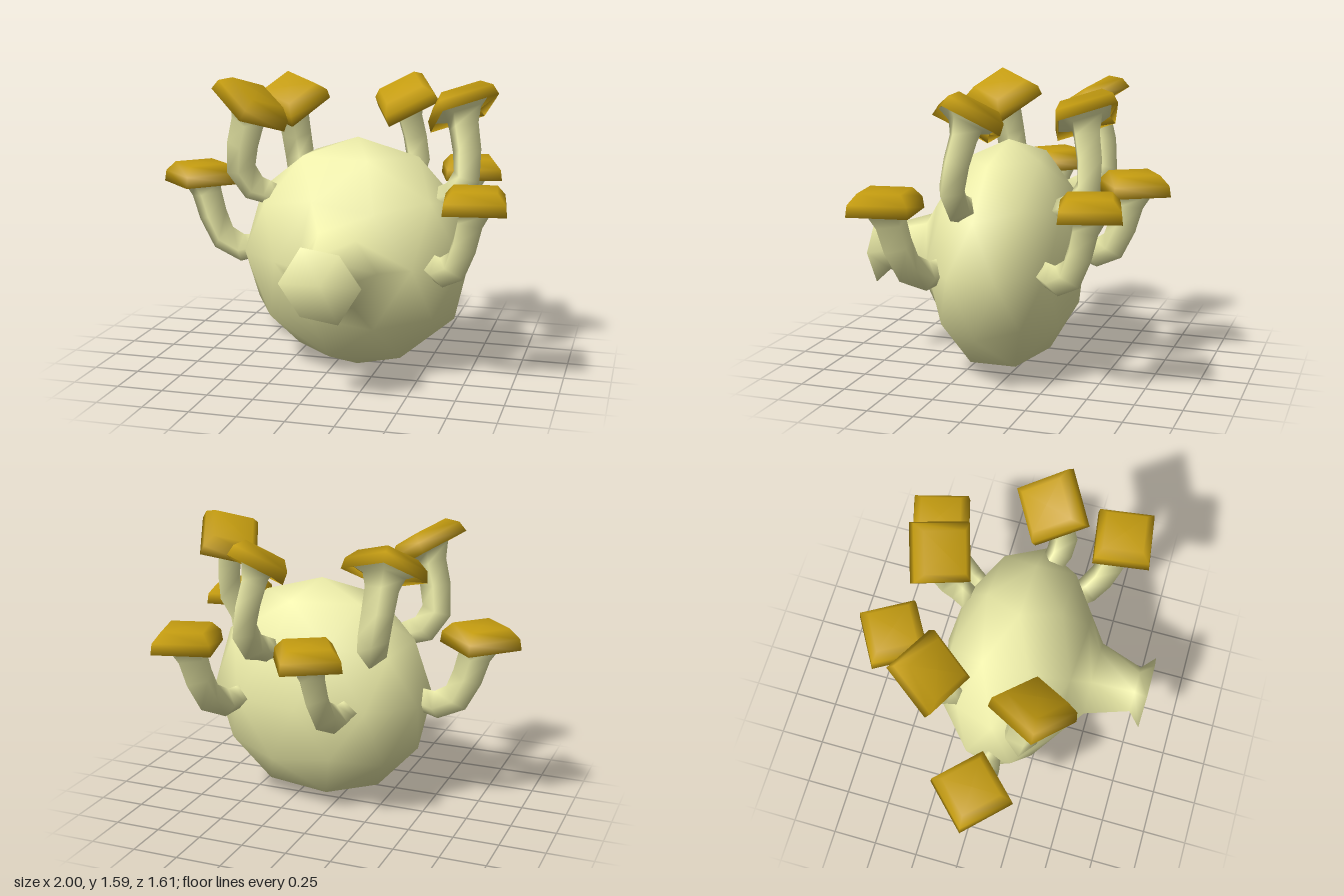
import * as THREE from 'three';
import { mergeVertices } from 'three/addons/utils/BufferGeometryUtils.js';

const cream = new THREE.MeshStandardMaterial({ color: 0xeeeeaa });
const gold = new THREE.MeshStandardMaterial({ color: 0xc49c10, side: THREE.DoubleSide });

function indexed(points, index) {
  const g = new THREE.BufferGeometry().setFromPoints(points);
  g.setIndex(index);
  g.computeVertexNormals();
  return g;
}

// Quads between two closed rings given as lists of vertex indices
function bridge(index, a, b) {
  a.forEach((_, i) => {
    const j = (i + 1) % a.length;
    index.push(a[i], a[j], b[j], a[i], b[j], b[i]);
  });
}

// Icosphere body whose front six faces are pulled out into a flared snout
function bodyGeometry() {
  let ball = new THREE.IcosahedronGeometry(1, 1);
  ball.rotateZ(-Math.atan(2 / (1 + Math.sqrt(5))));
  ball.deleteAttribute('normal');
  ball.deleteAttribute('uv');
  ball = mergeVertices(ball, 1e-3);
  const pos = ball.attributes.position, old = ball.index.array;
  const points = [], index = [], rim = new Set();
  let tip = 0;
  for (let i = 0; i < pos.count; i++) {
    points.push(new THREE.Vector3().fromBufferAttribute(pos, i));
    if (points[i].z > points[tip].z) tip = i;
  }
  for (let i = 0; i < old.length; i += 3) {
    const face = [old[i], old[i + 1], old[i + 2]];
    if (face.includes(tip)) face.forEach(v => v !== tip && rim.add(v));
    else index.push(...face);
  }
  points.forEach(p => p.set(0.12 + p.x * 0.635, 0.635 + p.y * 0.635, 0.05 + p.z * 0.41));

  // Snout rings: scale of the opening, z
  const centre = points[tip].clone();
  const angle = v => Math.atan2(points[v].y - centre.y, points[v].x - centre.x);
  const first = [...rim].sort((a, b) => angle(a) - angle(b));
  let ring = first;
  for (const [s, z] of [[0.58, 0.49], [0.36, 0.73], [0.57, 0.8]]) {
    const next = first.map(v => {
      const p = points[v].clone().sub(centre).multiplyScalar(s).add(centre);
      p.z = z;
      return points.push(p) - 1;
    });
    bridge(index, ring, next);
    ring = next;
  }
  points[tip].z = 0.8;
  ring.forEach((v, i) => index.push(v, ring[(i + 1) % ring.length], tip));
  return indexed(points, index);
}

// Four-sided curved stalk; origin at the underside of the cap, outward is +x
function stalkGeometry() {
  const rows = [ // x, y, heading in degrees, radius
    [-0.38, -0.335, -5, 0.065], [-0.30, -0.345, -8, 0.068], [-0.235, -0.36, 8, 0.078],
    [-0.125, -0.305, 42, 0.082], [-0.065, -0.18, 68, 0.084], [-0.03, -0.06, 78, 0.088],
    [0, 0, 90, 0.11], [0, 0.04, 90, 0.2],
  ];
  const points = [], index = [];
  let last = null;
  for (const [x, y, deg, r] of rows) {
    const t = deg * Math.PI / 180, nx = -Math.sin(t) * r, ny = Math.cos(t) * r;
    const n = points.length;
    points.push(
      new THREE.Vector3(x + nx, y + ny, 0), new THREE.Vector3(x, y, r),
      new THREE.Vector3(x - nx, y - ny, 0), new THREE.Vector3(x, y, -r));
    const ring = [n, n + 1, n + 2, n + 3];
    if (last) bridge(index, last, ring);
    else index.push(n, n + 3, n + 2, n, n + 2, n + 1);
    last = ring;
  }
  return indexed(points, index);
}

export function createModel() {
  const model = new THREE.Group();
  model.name = 'stalkedCreature';

  const body = new THREE.Mesh(bodyGeometry(), cream);
  body.name = 'bodyWithSnout';
  model.add(body);

  const stalkShape = stalkGeometry();
  // Square cap with a hollow underside and bevelled top
  const capShape = new THREE.LatheGeometry(
    [[0.2, 0.04], [0.222, 0], [0.212, 0.06], [0.155, 0.112], [0, 0.116]]
      .map(([x, y]) => new THREE.Vector2(x, y)), 4);

  // Cap centre x, y, z, outward heading in degrees, inward tilt, sideways roll
  const stalks = [
    [-0.78, 0.98, 0.05, 180, 0, 0],
    [-0.065, 0.98, -0.595, -75, 0, 0],
    [0.64, 0.98, -0.545, -60, 0, 0],
    [0.82, 0.98, 0.455, 37, 0, 0],
    [-0.425, 1.42, 0.265, 172, 31, -8],
    [-0.36, 1.4, -0.295, -104, 31, -8],
    [0.29, 1.4, -0.43, -64, 31, -7],
    [0.695, 1.415, 0.075, 20, 31, -9],
  ];
  const rad = THREE.MathUtils.degToRad;
  stalks.forEach(([x, y, z, heading, tilt, roll], i) => {
    const g = new THREE.Group();
    g.name = (tilt ? 'upperStalk' : 'lowerStalk') + (i % 4 + 1);
    g.position.set(x, y, z);
    g.rotation.set(rad(roll), -rad(heading), rad(tilt), 'YXZ');
    const stem = new THREE.Mesh(stalkShape, cream);
    stem.name = 'stem';
    const cap = new THREE.Mesh(capShape, gold);
    cap.name = 'cap';
    g.add(stem, cap);
    model.add(g);
  });
  return model;
}
